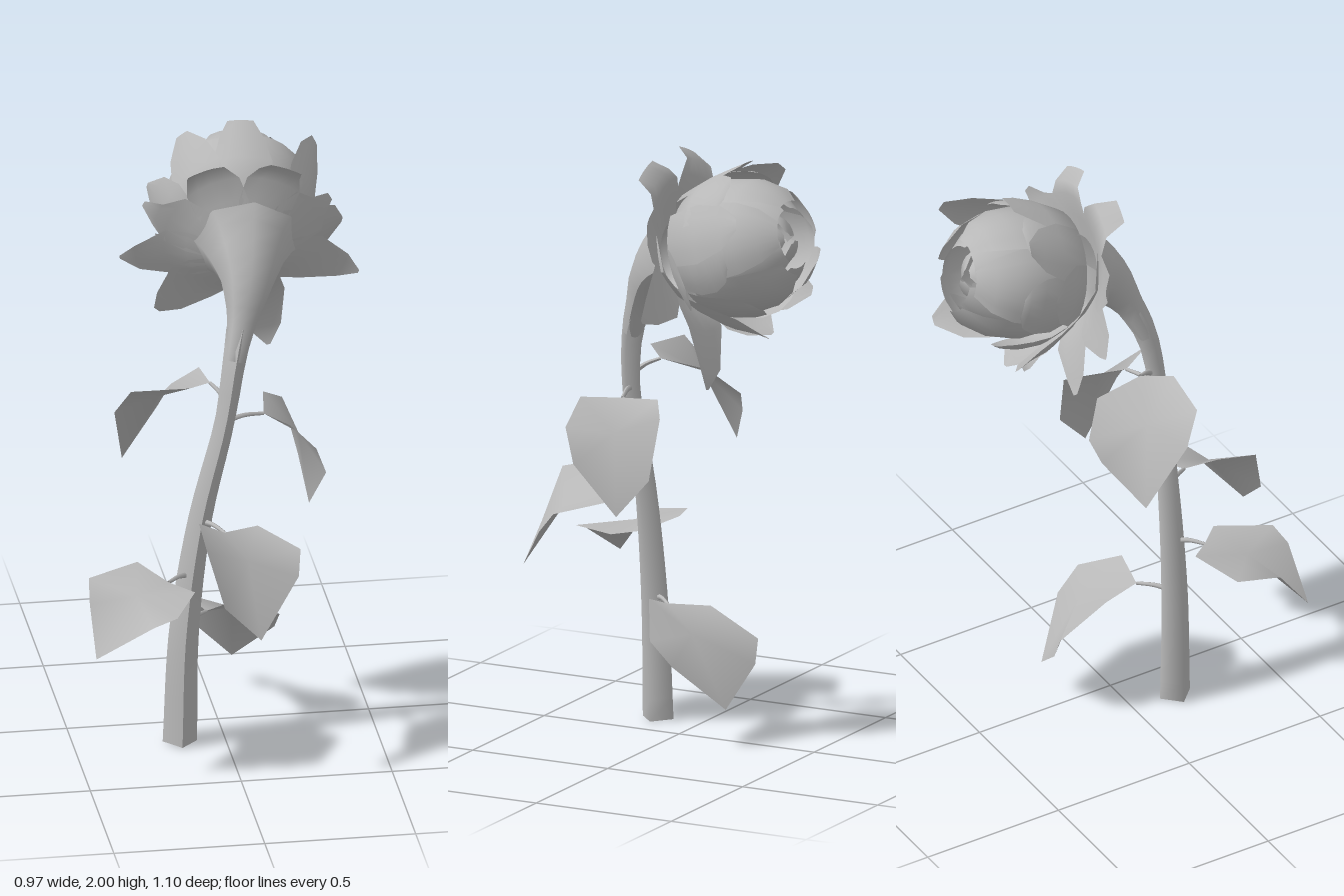
import * as THREE from 'three';

const grey = new THREE.MeshStandardMaterial({ color: 0xb8b8b8, side: THREE.DoubleSide });
grey.name = 'plain grey';

function addMesh(parent, geometry, name) {
  const mesh = new THREE.Mesh(geometry, grey);
  mesh.name = name;
  parent.add(mesh);
  return mesh;
}

function indexed(positions, indices) {
  const g = new THREE.BufferGeometry();
  g.setAttribute('position', new THREE.Float32BufferAttribute(positions, 3));
  g.setIndex(indices);
  g.computeVertexNormals();
  return g;
}

// Tube whose radius follows the fourth value of each [x, y, z, radius] point
function taperedTube(points, segments, sides) {
  const curve = new THREE.CatmullRomCurve3(points.map(p => new THREE.Vector3(p[0], p[1], p[2])));
  const g = new THREE.TubeGeometry(curve, segments, 1, sides);
  const pos = g.attributes.position, v = new THREE.Vector3();
  for (let i = 0; i <= segments; i++) {
    const u = i / segments, centre = curve.getPointAt(u);
    const t = curve.getUtoTmapping(u) * (points.length - 1);
    const k = Math.min(Math.floor(t), points.length - 2);
    const radius = THREE.MathUtils.lerp(points[k][3], points[k + 1][3], t - k);
    for (let j = 0; j <= sides; j++) {
      const n = i * (sides + 1) + j;
      v.fromBufferAttribute(pos, n).sub(centre).multiplyScalar(radius).add(centre);
      pos.setXYZ(n, v.x, v.y, v.z);
    }
  }
  g.computeVertexNormals();
  return g;
}

// Petal around the flower axis: rows of [radius, height, half angle], angle in degrees
function petal(degrees, rows, cols = 4) {
  const pos = [], idx = [];
  rows.forEach(([r, y, half], i) => {
    for (let j = 0; j <= cols; j++) {
      const a = degrees * Math.PI / 180 + half * (j / cols * 2 - 1);
      pos.push(r * Math.cos(a), y, r * Math.sin(a));
      if (i < rows.length - 1 && j < cols) {
        const n = i * (cols + 1) + j, m = n + cols + 1;
        idx.push(n, m, n + 1, n + 1, m, m + 1);
      }
    }
  });
  return indexed(pos, idx);
}

// Leaf blade: an outline starting at the stalk, raised around a middle point
function leaf(mid, outline) {
  const idx = outline.map((_, i) => [0, i + 1, (i + 1) % outline.length + 1]).flat();
  return indexed([mid, ...outline].flat(), idx);
}

export function createModel() {
  const model = new THREE.Group();
  model.name = 'flower';

  // Four-sided stem with its corners facing front, back and sides
  addMesh(model, taperedTube([
    [-0.15, 0, 0.157, 0.057], [-0.137, 0.4, 0.163, 0.05], [-0.085, 0.8, 0.17, 0.04],
    [-0.005, 1.15, 0.18, 0.033], [0.03, 1.35, 0.157, 0.038], [0.055, 1.45, 0.12, 0.046],
  ], 20, 4), 'stem');
  const foot = addMesh(model, new THREE.CircleGeometry(0.057, 4), 'stemFoot');
  foot.rotation.x = Math.PI / 2;
  foot.position.set(-0.15, 0.001, 0.157);

  // Funnel flaring from the stem into the flower
  addMesh(model, taperedTube([
    [0.03, 1.35, 0.157, 0.034], [0.065, 1.48, 0.105, 0.05], [0.09, 1.58, 0.04, 0.088],
    [0.1, 1.64, -0.04, 0.135], [0.105, 1.665, -0.1, 0.185],
  ], 10, 8), 'funnel');

  // Leaves: stalk start, middle, outline
  const leaves = [
    { from: [0.01, 1.2, 0.17], mid: [-0.2, 1.18, 0.02], outline: [
      [-0.04, 1.25, 0.09], [-0.12, 1.27, 0.17], [-0.31, 1.26, 0.145], [-0.355, 1.16, 0.08],
      [-0.31, 0.935, -0.05], [-0.18, 1.07, -0.14], [-0.13, 1.14, -0.16], [-0.05, 1.23, -0.08]] },
    { from: [0, 1.15, 0.18], mid: [0.25, 1.06, 0.11], outline: [
      [0.13, 1.15, 0.14], [0.2, 1.155, 0.26], [0.285, 1.07, 0.27], [0.325, 0.96, 0.22],
      [0.29, 0.79, 0.08], [0.27, 0.92, -0.03], [0.22, 1.12, -0.045], [0.15, 1.165, 0.0]] },
    { from: [-0.08, 0.79, 0.17], mid: [0.04, 0.74, 0.4], outline: [
      [-0.02, 0.79, 0.27], [-0.115, 0.86, 0.34], [-0.11, 0.82, 0.49], [-0.06, 0.64, 0.54],
      [0.06, 0.52, 0.545], [0.205, 0.68, 0.41], [0.22, 0.75, 0.35], [0.1, 0.78, 0.21]] },
    { from: [-0.12, 0.6, 0.17], mid: [-0.32, 0.61, 0.33], outline: [
      [-0.2, 0.61, 0.24], [-0.125, 0.605, 0.32], [-0.21, 0.595, 0.495], [-0.29, 0.57, 0.505],
      [-0.475, 0.455, 0.47], [-0.48, 0.605, 0.36], [-0.46, 0.63, 0.21], [-0.29, 0.65, 0.15]] },
    { from: [-0.14, 0.41, 0.16], mid: [0.06, 0.36, -0.08], outline: [
      [-0.05, 0.42, 0.07], [0.06, 0.46, 0.08], [0.205, 0.36, 0], [0.2, 0.28, -0.08],
      [0.08, 0.125, -0.215], [-0.06, 0.25, -0.25], [-0.09, 0.33, -0.245], [-0.09, 0.42, -0.07]] },
  ];
  leaves.forEach(({ from, mid, outline }, i) => {
    addMesh(model, leaf(mid, outline), 'leaf' + (i + 1));
    const base = outline[0];
    const bend = from.map((v, k) => (v + base[k]) / 2 + (k === 1 ? 0.008 : 0));
    addMesh(model, taperedTube([[...from, 0.011], [...bend, 0.008], [...base, 0.006]], 6, 6),
      'leafStalk' + (i + 1));
  });

  // Flower head, its own y axis pointing backwards and slightly up
  const head = new THREE.Group();
  head.name = 'flowerHead';
  const axis = new THREE.Vector3(0.08, 0.27, -0.96).normalize();
  const up = new THREE.Vector3(1, 0, 0).cross(axis).normalize();
  const side = axis.clone().cross(up);
  head.quaternion.setFromRotationMatrix(new THREE.Matrix4().makeBasis(side, axis, up));
  head.position.set(0.1, 1.66, -0.1);
  model.add(head);

  // Spreading sepals: [angle, reach, tip height, tip half angle]
  [[116, 0.36, -0.03, 0.12], [68, 0.345, -0.01, 0.16], [-20, 0.41, 0.01, 0.015],
    [-77, 0.45, 0, 0.015], [-131, 0.41, 0.03, 0.03], [-167, 0.41, 0.04, 0.015],
    [160, 0.35, 0.06, 0.03], [28, 0.32, 0.05, 0.05]]
    .forEach(([deg, reach, tip, tipHalf], i) => addMesh(head, petal(deg, [
      [0.12, -0.04, 0.58], [0.19, -0.01, 0.5], [0.26, 0.02, 0.37],
      [reach * 0.87, 0.022, 0.13 + tipHalf * 0.7], [reach, tip, tipHalf],
    ]), 'sepal' + (i + 1)));

  // Outer petals: [angle, reach, tip height, tip half angle]
  [[90, 0.27, 0.3, 0.16], [24, 0.28, 0.38, 0.08], [-10, 0.345, 0.18, 0.03],
    [-57, 0.34, 0.34, 0.05], [-102, 0.32, 0.19, 0.03], [-138, 0.33, 0.26, 0.05],
    [168, 0.31, 0.22, 0.03], [132, 0.285, 0.3, 0.08]]
    .forEach(([deg, reach, tip, tipHalf], i) => addMesh(head, petal(deg, [
      [0.11, 0.0, 0.5], [0.208, 0.05, 0.43],
      [0.11 + reach * 0.48, 0.03 + tip * 0.4, 0.42],
      [0.07 + reach * 0.7, tip * 0.8, 0.28], [reach, tip, tipHalf],
    ]), 'outerPetal' + (i + 1)));

  // Rounded petals closing over the heart: rows of [radius, height, half angle]
  const rings = [
    { name: 'lowPetal', count: 6, turn: 60, rows: [[0.1, 0.01, 0.5], [0.195, 0.06, 0.48],
      [0.232, 0.14, 0.5], [0.242, 0.21, 0.46], [0.238, 0.26, 0.34], [0.23, 0.28, 0.15]] },
    { name: 'budPetal', count: 5, turn: 90, rows: [[0.12, 0.03, 0.68], [0.197, 0.1, 0.65],
      [0.22, 0.2, 0.65], [0.207, 0.3, 0.62], [0.172, 0.375, 0.55], [0.12, 0.425, 0.36]] },
    { name: 'innerPetal', count: 5, turn: 54, rows: [[0.1, 0.08, 0.7], [0.183, 0.16, 0.7],
      [0.185, 0.27, 0.7], [0.152, 0.36, 0.62], [0.098, 0.415, 0.45]] },
    { name: 'heartPetal', count: 3, turn: 12, rows: [[0.06, 0.1, 1.1], [0.125, 0.2, 1.1],
      [0.118, 0.3, 1.1], [0.07, 0.37, 0.9], [0.02, 0.39, 0.6]] },
  ];
  for (const { name, count, turn, rows } of rings) {
    for (let i = 0; i < count; i++) {
      const lean = 1 + 0.03 * Math.sin(i * 2.4 + 0.3);
      const shaped = rows.map(([r, y, half]) => [r * lean, y * (2 - lean), half]);
      addMesh(head, petal(turn + i * 360 / count, shaped, 6), name + (i + 1));
    }
  }

  return model;
}
